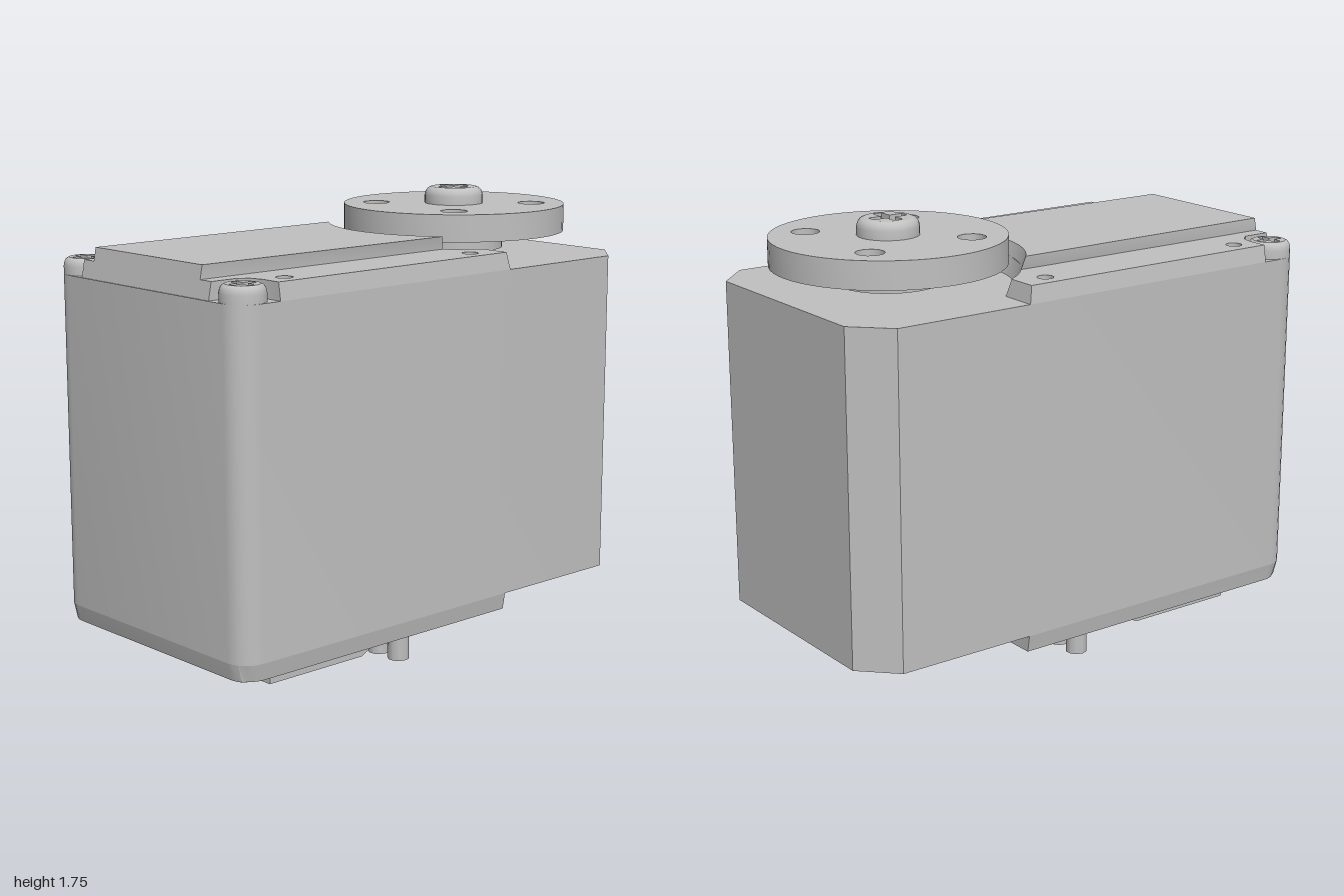
import * as THREE from 'three';
import { toCreasedNormals } from 'three/addons/utils/BufferGeometryUtils.js';

const grey = new THREE.MeshStandardMaterial({ color: 0xc0c0c0 });
grey.name = 'grey plastic';

const AXIS = 0.55; // x of the output shaft
const V = (x, z) => new THREE.Vector2(x, z);
const circle = (x, z, r, n = 12) => Array.from({ length: n }, (_, i) =>
  V(x + r * Math.cos(i / n * 2 * Math.PI), z + r * Math.sin(i / n * 2 * Math.PI)));
// Full outline from the half with z >= 0, listed from one end to the other
const mirrored = (half) => [...half, ...half.slice().reverse().map((p) => V(p.x, -p.y))];
// Quarter arc around the output shaft, from its end at z = zEnd to the middle
const shaftArc = (r, zEnd, n = 10) => {
  const a = Math.asin(zEnd / r);
  return Array.from({ length: n }, (_, i) => {
    const t = a * (1 - (i + 0.5) / n * (i ? 1 : 0));
    return V(AXIS - r * Math.cos(t), r * Math.sin(t));
  });
};

function add(group, name, geometry, x = 0, y = 0, z = 0) {
  const mesh = new THREE.Mesh(geometry, grey);
  mesh.name = name;
  mesh.position.set(x, y, z);
  group.add(mesh);
  return mesh;
}

// Vertical prism between y0 and y1, with holes; warp(p) may move its vertices
function slab(outline, y0, y1, holes = [], warp = null) {
  const shape = new THREE.Shape(outline);
  shape.holes = holes.map((h) => new THREE.Path(h));
  const g = new THREE.ExtrudeGeometry(shape, { depth: y1 - y0, bevelEnabled: false });
  g.rotateX(-Math.PI / 2).translate(0, y0, 0);
  if (warp) {
    const pos = g.attributes.position, p = new THREE.Vector3();
    for (let i = 0; i < pos.count; i++) {
      p.fromBufferAttribute(pos, i);
      warp(p);
      pos.setXYZ(i, p.x, p.y, p.z);
    }
  }
  return toCreasedNormals(g, 0.6);
}

// Domed screw head with a cross recess
function screw(group, name, x, y, z, r, h) {
  const s = new THREE.Group();
  s.name = name;
  s.position.set(x, y, z);
  const profile = [[1, 0], [1, 0.5], [0.96, 0.75], [0.88, 0.92], [0.76, 1]].map(([a, b]) => V(a * r, b * h));
  add(s, 'screwHead', new THREE.LatheGeometry(profile, 24));
  const l = 0.62 * r, w = 0.16 * r;
  const cross = [V(l, w), V(w, w), V(w, l), V(-w, l), V(-w, w), V(-l, w),
    V(-l, -w), V(-w, -w), V(-w, -l), V(w, -l), V(w, -w), V(l, -w)];
  add(s, 'screwCross', slab(circle(0, 0, 0.76 * r, 24), h * 0.4, h, [cross]));
  add(s, 'screwFloor', new THREE.CircleGeometry(0.76 * r, 24).rotateX(-Math.PI / 2), 0, h * 0.41, 0);
  group.add(s);
}

// Half outline of the rounded rear corner
const rearCorner = Array.from({ length: 7 }, (_, i) => {
  const a = Math.PI / 2 + i / 6 * Math.PI / 2;
  return V(-0.91 + 0.09 * Math.cos(a), 0.45 + 0.09 * Math.sin(a));
});

export function createModel() {
  const servo = new THREE.Group();
  servo.name = 'servoMotor';

  // Main case with chamfered front corners and rounded rear corners
  add(servo, 'case', slab(mirrored([V(1, 0.41), V(0.87, 0.54), ...rearCorner]), 0.225, 1.49));

  // Bottom lid: two tabs beside a recess, slightly tapered downwards
  const lid = mirrored([V(-0.18, 0.31), V(0.2, 0.31), V(0.31, 0.41), V(0.31, 0.54), ...rearCorner]);
  const lidHoles = [-0.91, 0.2].flatMap((x) => [-0.455, 0.455].map((z) => circle(x, z, 0.03)));
  add(servo, 'bottomLid', slab(lid, 0.16, 0.225, lidHoles, (p) => {
    if (p.y > 0.2) return;
    if (p.x < -0.9) p.x += 0.015;
    if (Math.abs(p.z) > 0.5) p.z *= 0.98;
  }));

  // Raised block under the lid, sloping up towards the pins
  const block = new THREE.Shape([V(-0.77, 0.17), V(-0.77, 0.08), V(-0.32, 0.08), V(-0.18, 0.16), V(-0.18, 0.17)]);
  add(servo, 'bottomBlock', new THREE.ExtrudeGeometry(block, { depth: 0.81, bevelEnabled: false }), 0, 0, -0.405);

  // Connector pins
  for (const z of [0.12, 0.23, 0.34]) for (const s of [-1, 1]) {
    add(servo, 'pin', new THREE.CylinderGeometry(0.042, 0.042, 0.225, 10), -0.07, 0.1125, s * z);
  }

  // Lower pivot boss with a blind hole
  add(servo, 'lowerBoss', slab(circle(AXIS, 0, 0.13, 32), 0.05, 0.225, [circle(AXIS, 0, 0.05, 16)]));

  // Top lid, tapered upwards, curved around the output disc
  const taper = (p) => {
    const k = (p.y - 1.49) / 0.115;
    const d = Math.hypot(p.x - AXIS, p.z);
    if (d < 0.49) {
      const r = 0.46 + 0.04 * k;
      p.x = AXIS + (p.x - AXIS) * r / d;
      p.z *= r / d;
    } else if (p.x > 0.3) p.x -= 0.022 * k;
    if (p.x < -0.95) p.x += 0.022 * k;
    if (Math.abs(p.z) > 0.53) p.z -= Math.sign(p.z) * 0.018 * k;
  };
  const topOutline = mirrored([V(-0.995, 0.37), V(-0.87, 0.37), V(-0.835, 0.4), V(-0.82, 0.45), V(-0.82, 0.54),
    V(0.31, 0.54), ...shaftArc(0.46, 0.392)]);
  const topHoles = [-0.73, 0.18].flatMap((x) => [-0.455, 0.455].map((z) => circle(x, z, 0.031)));
  add(servo, 'topLid', slab(topOutline, 1.49, 1.555, topHoles, taper));
  const ridge = mirrored([V(-0.995, 0.31), ...shaftArc(0.483, 0.31)]);
  add(servo, 'topRidge', slab(ridge, 1.555, 1.605, [], taper));

  // Output shaft, hub and disc with four holes
  add(servo, 'shaft', new THREE.CylinderGeometry(0.1, 0.1, 0.03, 32), AXIS, 1.5, 0);
  add(servo, 'hub', new THREE.CylinderGeometry(0.195, 0.195, 0.07, 40), AXIS, 1.54, 0);
  const discHoles = [-1, 1].flatMap((a) => [-1, 1].map((b) => circle(AXIS + a * 0.218, b * 0.218, 0.053, 16)));
  add(servo, 'disc', slab(circle(AXIS, 0, 0.438, 56), 1.575, 1.68, discHoles));

  // Screws
  screw(servo, 'discScrew', AXIS, 1.68, 0, 0.116, 0.065);
  for (const s of [-1, 1]) screw(servo, 'caseScrew', -0.915, 1.49, s * 0.455, 0.083, 0.062);

  return servo;
}
